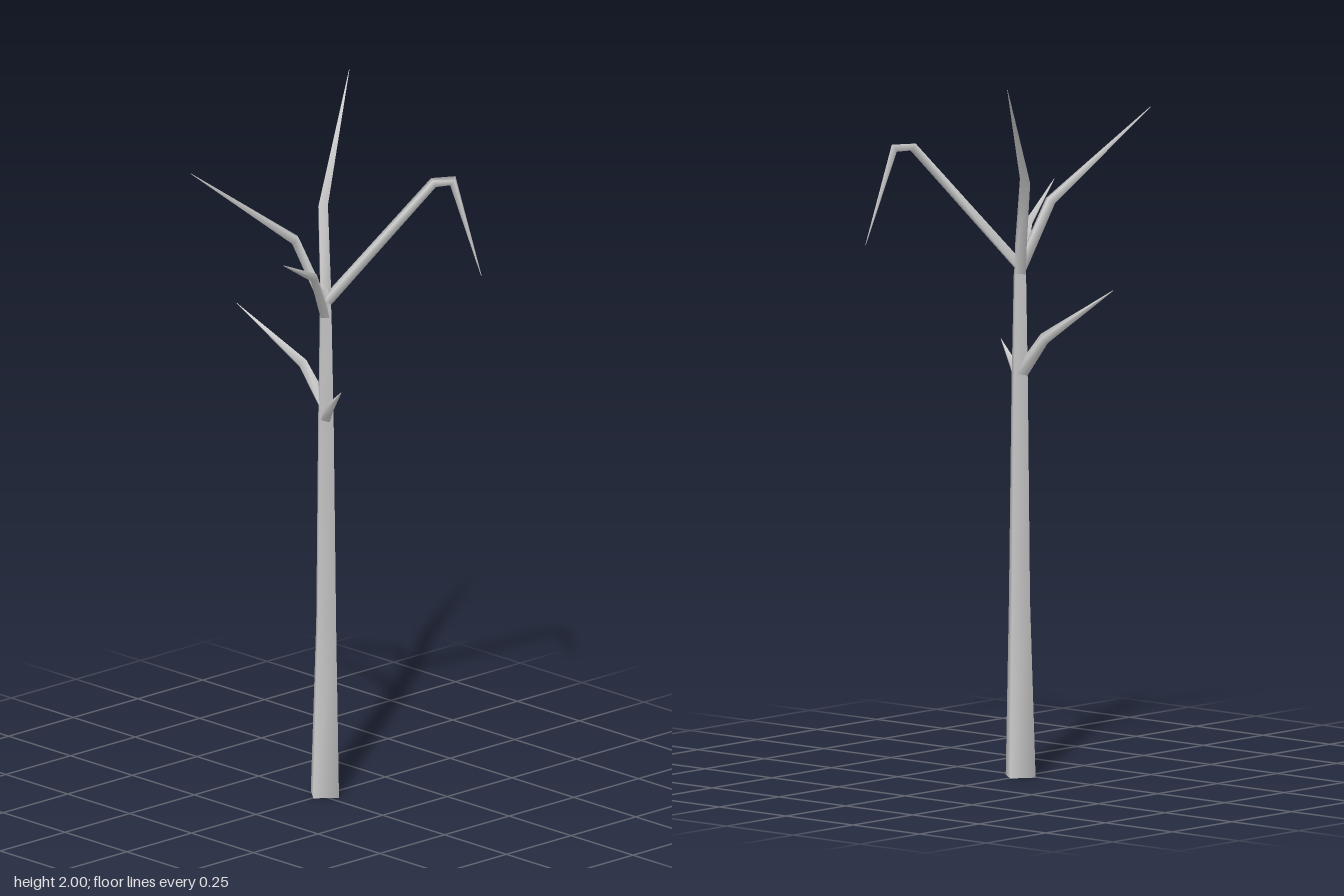
import * as THREE from 'three';

const SIDES = 4;
const TURN = 0.12; // rotation of the square cross-section

// Tapered four-sided limb through rings given as [x, y, z, radius]
function limb(name, rings, material, turn = TURN) {
  const centres = rings.map(([x, y, z]) => new THREE.Vector3(x, y, z));
  const positions = [], index = [];
  const u = new THREE.Vector3(1, 0, 0), last = rings.length - 1;
  centres.forEach((c, i) => {
    // Average direction of the two neighbouring segments
    const t = new THREE.Vector3();
    if (i > 0) t.add(c.clone().sub(centres[i - 1]).normalize());
    if (i < last) t.add(centres[i + 1].clone().sub(c).normalize());
    t.normalize();
    u.addScaledVector(t, -u.dot(t)).normalize();
    const v = t.clone().cross(u);
    for (let k = 0; k < SIDES; k++) {
      const a = turn + (k / SIDES) * Math.PI * 2;
      const p = c.clone()
        .addScaledVector(u, Math.cos(a) * rings[i][3])
        .addScaledVector(v, Math.sin(a) * rings[i][3]);
      positions.push(p.x, p.y, p.z);
      if (i < last) {
        const b = i * SIDES, n = (k + 1) % SIDES;
        index.push(b + k, b + n, b + n + SIDES, b + k, b + n + SIDES, b + k + SIDES);
      }
    }
  });
  const geometry = new THREE.BufferGeometry();
  geometry.setAttribute('position', new THREE.Float32BufferAttribute(positions, 3));
  geometry.setIndex(index);
  geometry.computeVertexNormals();
  const mesh = new THREE.Mesh(geometry, material);
  mesh.name = name;
  return mesh;
}

export function createModel() {
  const tree = new THREE.Group();
  tree.name = 'bareTree';
  const bark = new THREE.MeshStandardMaterial({ color: 0xcccccc });

  // Trunk with its flat underside
  tree.add(limb('trunk', [
    [0.016, 0, 0, 0.051], [0.021, 0.5, 0, 0.036], [0.02, 1.1, 0, 0.028],
    [0.019, 1.42, 0, 0.021], [0.02, 1.48, -0.005, 0.012],
  ], bark));
  const base = new THREE.Mesh(
    new THREE.CircleGeometry(0.051, SIDES, -TURN).rotateX(Math.PI / 2), bark);
  base.name = 'trunkBase';
  base.position.x = 0.016;
  tree.add(base);

  // Branches: thick root, one bend, needle-thin tip
  const branches = {
    crownBranchBackLeft: [
      [0.019, 1.42, 0, 0.02], [0.032, 1.5, -0.015, 0.02],
      [0.076, 1.695, -0.07, 0.018], [0.335, 2, -0.235, 0.001]],
    crownBranchBackRight: [
      [0.018, 1.43, 0, 0.018], [-0.045, 1.625, -0.057, 0.017],
      [-0.355, 1.865, -0.155, 0.001]],
    crownBranchFrontRight: [
      [0.018, 1.4, 0, 0.017], [-0.08, 1.548, 0.055, 0.013],
      [-0.27, 1.642, 0.13, 0.001]],
    droopingBranch: [
      [0.018, 1.44, 0, 0.017], [0.252, 1.785, 0.192, 0.015],
      [0.303, 1.785, 0.217, 0.015], [0.353, 1.51, 0.28, 0.001]],
    lowerBranchBack: [
      [0.02, 1.14, -0.005, 0.021], [0.012, 1.245, -0.085, 0.017],
      [-0.058, 1.392, -0.28, 0.001]],
    lowerBranchFront: [
      [0.017, 1.1, 0, 0.019], [-0.012, 1.15, 0.05, 0.014],
      [-0.04, 1.217, 0.124, 0.001]],
  };
  for (const [name, rings] of Object.entries(branches)) tree.add(limb(name, rings, bark));

  return tree;
}
